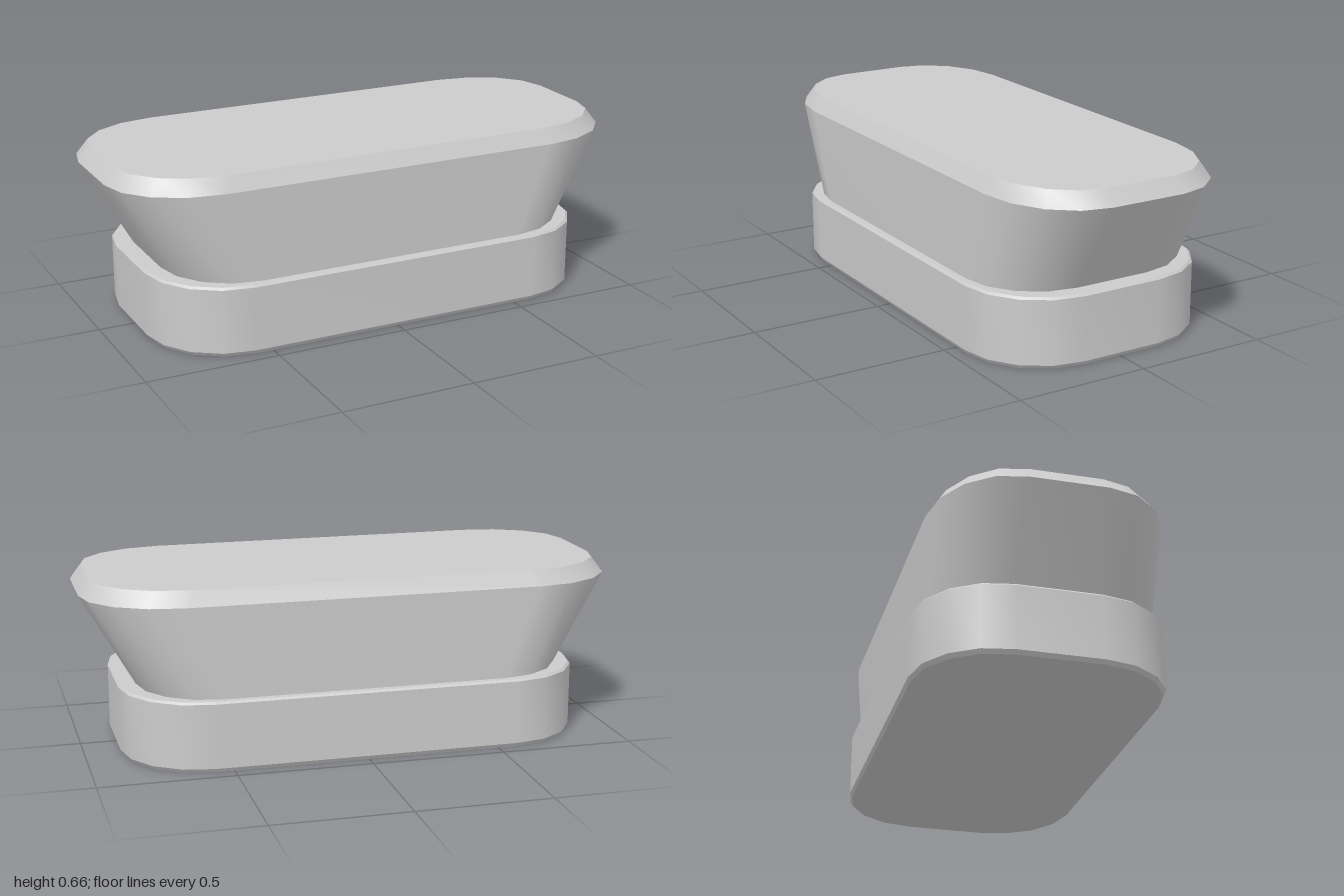
import * as THREE from 'three';
import { mergeGeometries } from 'three/addons/utils/BufferGeometryUtils.js';

const CORNER_STEPS = 4;

// Rounded-rectangle outline in x/z, scaled to half sizes hx, hz
function ring(y, hx, hz) {
  const w = 0.87, d = 0.455, r = 0.3, points = [];
  for (let q = 0; q < 4; q++) {
    const sx = q === 0 || q === 3 ? 1 : -1;
    const sz = q < 2 ? 1 : -1;
    for (let i = 0; i <= CORNER_STEPS; i++) {
      const a = (q + i / CORNER_STEPS) * Math.PI / 2;
      const x = sx * (w - r) + r * Math.cos(a);
      const z = sz * (d - r) + r * Math.sin(a);
      points.push(x * hx / w, y, z * hz / d);
    }
  }
  return points;
}

// One band between two outlines, smooth around and sharp at its rims
function band(lower, upper) {
  const n = lower.length / 3, index = [];
  for (let i = 0; i < n; i++) {
    const j = (i + 1) % n;
    index.push(i, n + i, n + j, i, n + j, j);
  }
  const g = new THREE.BufferGeometry();
  g.setAttribute('position', new THREE.Float32BufferAttribute([...lower, ...upper], 3));
  g.setIndex(index);
  g.computeVertexNormals();
  return g;
}

// Stack of bands through sections [y, halfX, halfZ]
function loft(name, sections, material) {
  const rings = sections.map((s) => ring(...s));
  const bands = rings.slice(1).map((r, i) => band(rings[i], r));
  const mesh = new THREE.Mesh(mergeGeometries(bands), material);
  mesh.name = name;
  return mesh;
}

export function createModel() {
  const model = new THREE.Group();
  model.name = 'flaredBlock';
  const material = new THREE.MeshStandardMaterial({ color: 0xcccccc });

  // Base with chamfered rims
  model.add(loft('base', [
    [0, 0, 0],
    [0, 0.86, 0.446],
    [0.015, 0.87, 0.455],
    [0.254, 0.87, 0.455],
    [0.262, 0.862, 0.448],
    [0.262, 0, 0],
  ], material));

  // Upper body flaring towards both ends, with a bevelled top
  model.add(loft('flaredTop', [
    [0.262, 0.805, 0.425],
    [0.602, 1, 0.425],
    [0.658, 0.96, 0.393],
    [0.658, 0, 0],
  ], material));

  return model;
}
